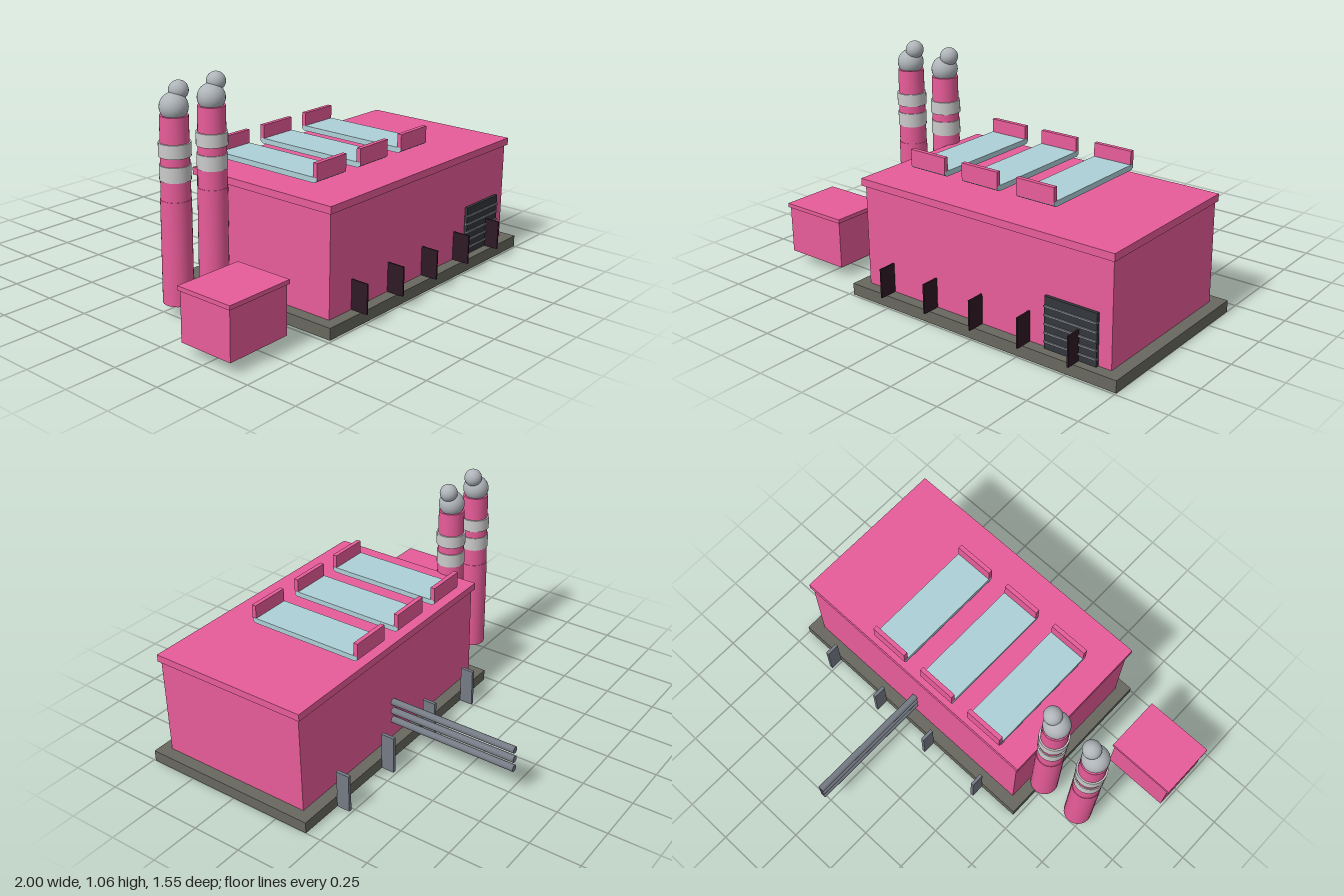
import * as THREE from 'three';

const mat = (color) => new THREE.MeshStandardMaterial({ color });

export function createModel() {
  const model = new THREE.Group();
  const pink = mat(0xe85c99), concrete = mat(0x68685f), glass = mat(0xaed0d8);
  const steel = mat(0x757b85), dark = mat(0x2e1a24), shutter = mat(0x33363b);
  const slatGrey = mat(0x858a90), smoke = mat(0xb0b5ba), white = mat(0xcccccc);

  const add = (parent, name, geometry, material, x = 0, y = 0, z = 0) => {
    const mesh = new THREE.Mesh(geometry, material);
    mesh.name = name;
    mesh.position.set(x, y, z);
    parent.add(mesh);
    return mesh;
  };
  // Box given by its limits along each axis
  const box = (parent, name, material, [x0, x1], [y0, y1], [z0, z1]) =>
    add(parent, name, new THREE.BoxGeometry(x1 - x0, y1 - y0, z1 - z0), material,
      (x0 + x1) / 2, (y0 + y1) / 2, (z0 + z1) / 2);
  const group = (name) => {
    const g = new THREE.Group();
    g.name = name;
    model.add(g);
    return g;
  };

  // Foundation and main hall
  box(model, 'foundation', concrete, [-0.48, 1], [0, 0.057], [-0.17, 0.74]);
  box(model, 'hallWalls', pink, [-0.42, 0.94], [0.057, 0.545], [-0.11, 0.685]);
  box(model, 'hallRoof', pink, [-0.435, 0.95], [0.545, 0.58], [-0.122, 0.698]);

  // Side annex
  box(model, 'annexWalls', pink, [-0.992, -0.653], [0.057, 0.29], [0.37, 0.65]);
  box(model, 'annexRoof', pink, [-1, -0.645], [0.29, 0.31], [0.362, 0.658]);

  // Skylights: chamfered glass slab with an upright panel at each end
  const slab = new THREE.Shape([
    [-0.29, 0.604], [0.29, 0.604], [0.303, 0.612], [0.303, 0.63], [-0.303, 0.63], [-0.303, 0.612],
  ].map(([z, y]) => new THREE.Vector2(z, y)));
  for (const x of [-0.198, 0.105, 0.412]) {
    const skylight = group('skylight');
    const geometry = new THREE.ExtrudeGeometry(slab, { depth: 0.204, bevelEnabled: false });
    geometry.translate(0, 0, -0.102).rotateY(Math.PI / 2);
    add(skylight, 'skylightGlass', geometry, glass, x, 0, 0.202);
    for (const side of [-1, 1]) {
      add(skylight, 'skylightEndPanel', new THREE.BoxGeometry(0.202, 0.081, 0.022), pink,
        x, 0.6555, 0.202 + side * 0.294);
    }
  }

  // Chimneys with painted bands and puffs of smoke
  for (const x of [-0.71, -0.485]) {
    const chimney = group('chimney');
    const tube = (name, rTop, rBottom, y0, y1, material) =>
      add(chimney, name, new THREE.CylinderGeometry(rTop, rBottom, y1 - y0, 32), material,
        x, (y0 + y1) / 2, 0.057);
    tube('chimneyBase', 0.069, 0.07, 0.057, 0.54, pink);
    tube('chimneyShaft', 0.063, 0.067, 0.54, 0.915, pink);
    tube('lowerBand', 0.07, 0.07, 0.628, 0.697, white);
    tube('upperBand', 0.072, 0.072, 0.735, 0.797, white);
    add(chimney, 'largePuff', new THREE.SphereGeometry(0.064, 24, 16), smoke, x, 0.95, 0.057);
    add(chimney, 'smallPuff', new THREE.SphereGeometry(0.044, 24, 16), smoke, x + 0.03, 1.017, 0.057);
  }

  // Roller shutter with raised slats
  const door = group('rollerShutter');
  box(door, 'shutterPanel', shutter, [0.61, 0.875], [0.057, 0.3], [0.68, 0.7]);
  for (let i = 0; i < 5; i++) {
    const y = 0.092 + i * 0.041;
    box(door, 'shutterSlat', slatGrey, [0.61, 0.875], [y - 0.004, y + 0.004], [0.69, 0.707]);
  }

  // Front fins and rear buttresses
  for (let i = 0; i < 5; i++) {
    const x = -0.265 + i * 0.262;
    box(model, 'frontFin', dark, [x - 0.004, x + 0.004], [0.057, 0.2], [0.685, 0.772]);
  }
  for (let i = 0; i < 4; i++) {
    const x = -0.255 + i * 0.341;
    box(model, 'rearButtress', steel, [x - 0.008, x + 0.008], [0, 0.193], [-0.237, -0.17]);
  }

  // Stacked pipes leaving the rear wall
  for (const y of [0.15, 0.201, 0.252]) {
    const pipe = add(model, 'rearPipe', new THREE.CylinderGeometry(0.017, 0.017, 0.675, 16), steel,
      0.257, y, -0.4375);
    pipe.rotation.x = Math.PI / 2;
  }

  return model;
}
